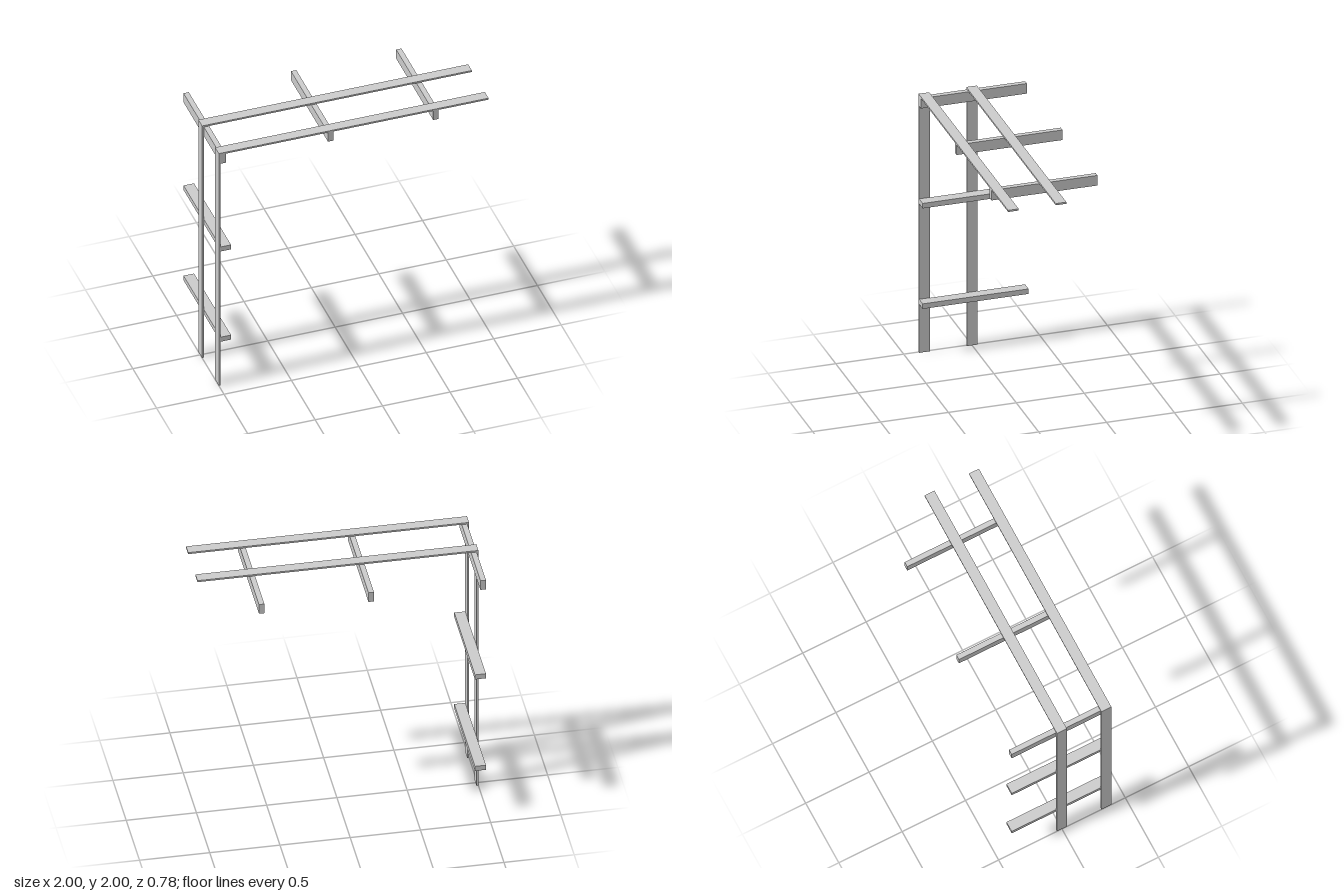
import * as THREE from 'three';

const material = new THREE.MeshStandardMaterial({ color: 0xcccccc, flatShading: true });

// Box given by its minimum and maximum on each axis
function board(name, [x0, x1], [y0, y1], [z0, z1]) {
  const mesh = new THREE.Mesh(new THREE.BoxGeometry(x1 - x0, y1 - y0, z1 - z0), material);
  mesh.position.set((x0 + x1) / 2, (y0 + y1) / 2, (z0 + z1) / 2);
  mesh.name = name;
  return mesh;
}

export function createModel() {
  const group = new THREE.Group();
  group.name = 'slattedFrame';

  const thin = 0.013;   // slat thickness
  const wide = 0.078;   // slat width and beam depth
  const narrow = 0.039; // beam thickness
  const half = 0.39;    // half the beam length
  const inner = -1 + thin;
  const under = 2 - thin;
  const depth = [-half, half];

  // Two upright slats, each meeting a long top slat at the corner
  [['front', half - wide], ['middle', -wide / 2]].forEach(([place, z]) => {
    const span = [z, z + wide];
    group.add(board(place + 'Upright', [-1, inner], [0, under], span));
    group.add(board(place + 'TopSlat', [-1, 1], [under, 2], span));
  });

  // Beams on edge below the top slats
  [inner, -0.19, 0.59].forEach((x, i) => {
    group.add(board('topBeam' + (i + 1), [x, x + narrow], [under - wide, under], depth));
  });

  // Flat-lying beams fixed to the inside of the uprights
  [0.375, 1.153].forEach((y, i) => {
    group.add(board('sideBeam' + (i + 1), [inner, inner + wide], [y, y + narrow], depth));
  });

  return group;
}
